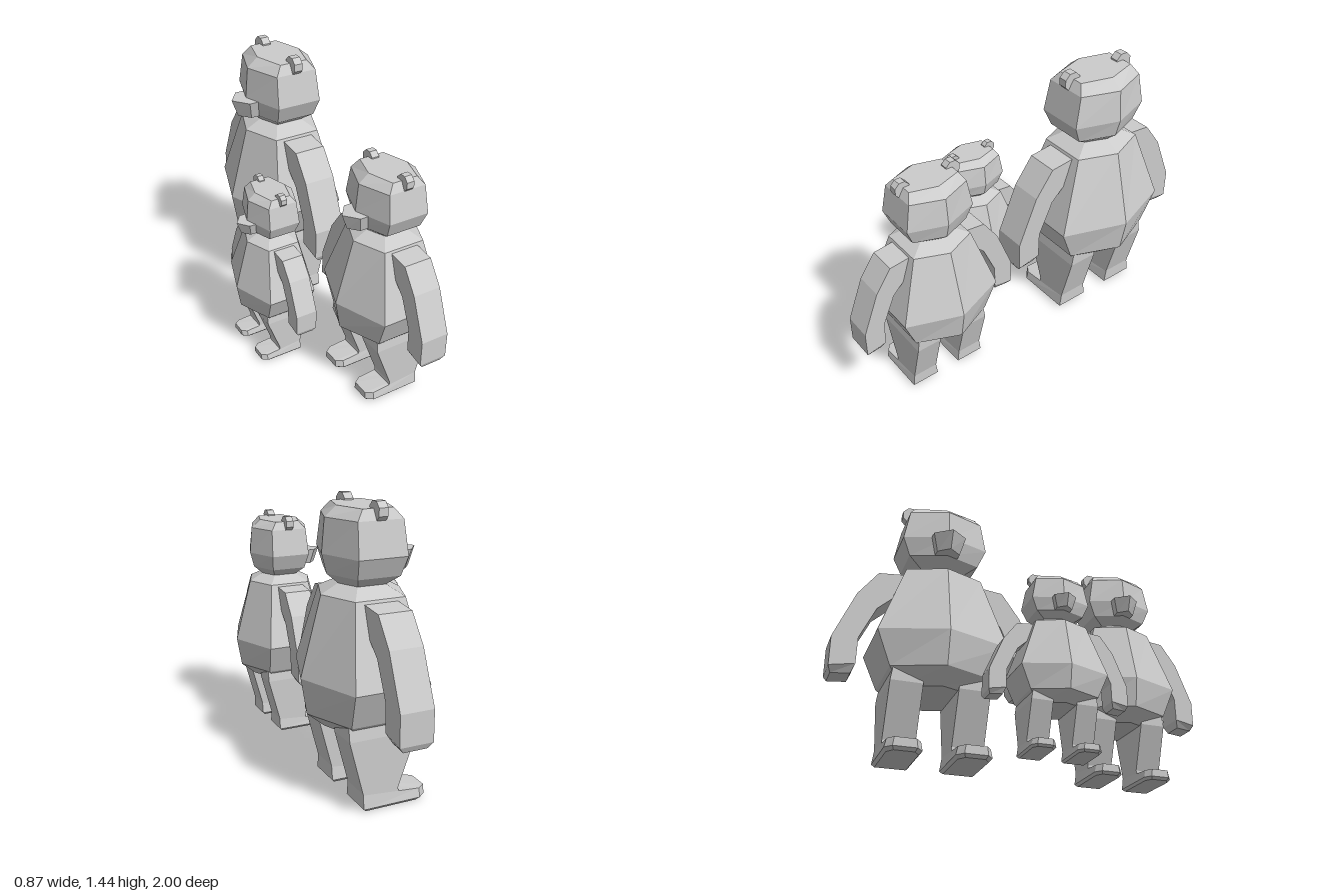
import * as THREE from 'three';

const material = new THREE.MeshStandardMaterial({ color: 0xcccccc, flatShading: true });

// Closed skin through rings that all have the same number of [x, y, z] corners.
function loft(rings) {
  const n = rings[0].length;
  let tris = [];
  for (let r = 0; r < rings.length - 1; r++) {
    const a = rings[r], b = rings[r + 1];
    for (let i = 0; i < n; i++) {
      const j = (i + 1) % n;
      tris.push([a[i], a[j], b[j]], [a[i], b[j], b[i]]);
    }
  }
  const first = rings[0], last = rings[rings.length - 1];
  for (let i = 1; i < n - 1; i++) {
    tris.push([first[0], first[i + 1], first[i]], [last[0], last[i], last[i + 1]]);
  }
  // Turn the skin outwards when its volume comes out negative (mirrored parts).
  let volume = 0;
  for (const t of tris) {
    const [p, q, s] = t.map((c) => new THREE.Vector3(...c));
    volume += p.dot(q.cross(s));
  }
  if (volume < 0) tris = tris.map(([p, q, s]) => [p, s, q]);
  const geometry = new THREE.BufferGeometry();
  geometry.setAttribute('position', new THREE.Float32BufferAttribute(tris.flat(2), 3));
  geometry.computeVertexNormals();
  return geometry;
}

// Horizontal hexagon, pointed along x and flat on the sides.
const hexRing = ([y, rx, rz]) => {
  const hx = rx * 0.62;
  return [[rx, y, 0], [hx, y, -rz], [-hx, y, -rz], [-rx, y, 0], [-hx, y, rz], [hx, y, rz]];
};

// Horizontal rectangle.
const boxRing = (y, x0, x1, z, hz) =>
  [[x0, y, z - hz], [x0, y, z + hz], [x1, y, z + hz], [x1, y, z - hz]];

function part(parent, name, geometry) {
  const mesh = new THREE.Mesh(geometry, material);
  mesh.name = name;
  parent.add(mesh);
  return mesh;
}

// One standing bear looking towards -x.
function createBear(name) {
  const bear = new THREE.Group();
  bear.name = name;

  // Each row: height, half depth, half width
  part(bear, 'body', loft([
    [0.355, 0.19, 0.19], [0.43, 0.28, 0.26], [0.61, 0.31, 0.335],
    [1.0, 0.205, 0.2], [1.05, 0.11, 0.105],
  ].map(hexRing)));
  part(bear, 'head', loft([
    [1.04, 0.11, 0.105], [1.095, 0.175, 0.185], [1.19, 0.2, 0.226],
    [1.355, 0.185, 0.195], [1.405, 0.125, 0.165],
  ].map(hexRing)));

  // Snout: pointed in plan, tapering downwards
  const snoutRing = (y, tip, shoulder, hz) =>
    [[tip, y, 0], [shoulder, y, hz], [-0.1, y, hz], [-0.1, y, -hz], [shoulder, y, -hz]];
  part(bear, 'snout', loft([
    snoutRing(1.095, -0.25, -0.2, 0.06),
    snoutRing(1.19, -0.285, -0.22, 0.086),
  ]));

  for (const side of [1, -1]) {
    const label = side > 0 ? 'left' : 'right';

    const ear = part(bear, label + 'Ear', new THREE.CylinderGeometry(0.05, 0.05, 0.046, 8)
      .rotateY(Math.PI / 8).rotateZ(Math.PI / 2));
    ear.position.set(0, 1.393, side * 0.17);

    // Arm sections: outer z, y, inner z, y, half thickness
    part(bear, label + 'Arm', loft([
      [0.16, 0.99, 0.12, 0.86, 0.085],
      [0.333, 0.972, 0.22, 0.87, 0.085],
      [0.435, 0.836, 0.328, 0.77, 0.085],
      [0.541, 0.584, 0.409, 0.595, 0.085],
      [0.541, 0.43, 0.412, 0.455, 0.085],
      [0.527, 0.4, 0.43, 0.41, 0.06],
    ].map(([oz, oy, iz, iy, h]) =>
      [[-h, oy, side * oz], [h, oy, side * oz], [h, iy, side * iz], [-h, iy, side * iz]])));

    // Leg narrows from hip to ankle
    const z = side * 0.172;
    part(bear, label + 'Leg', loft([
      boxRing(0.05, -0.08, 0.11, z, 0.082),
      boxRing(0.09, -0.075, 0.11, z, 0.082),
      boxRing(0.36, -0.175, 0.18, z, 0.082),
      boxRing(0.44, -0.175, 0.18, z, 0.07),
    ]));

    // Foot with clipped toe corners, a bevelled sole and a sloping top
    const footRing = (toeY, heelY, inset, hz) => [
      [0.11 - inset, heelY, z + hz], [0.11 - inset, heelY, z - hz],
      [-0.19 + inset, toeY, z - hz], [-0.23 + inset, toeY, z - hz * 0.65],
      [-0.23 + inset, toeY, z + hz * 0.65], [-0.19 + inset, toeY, z + hz],
    ];
    part(bear, label + 'Foot', loft([
      footRing(0, 0, 0.015, 0.078), footRing(0.016, 0.016, 0, 0.092),
      footRing(0.06, 0.085, 0, 0.082),
    ]));
  }
  return bear;
}

export function createModel() {
  const family = new THREE.Group();
  family.name = 'bearFamily';
  const place = [
    ['largeBear', [0.12, 0, -0.46], [1, 1, 1]],
    ['mediumBear', [0.12, 0, 0.565], [0.86, 0.85, 0.805]],
    ['smallBear', [-0.23, 0, 0.07], [0.667, 0.667, 0.667]],
  ];
  for (const [name, position, scale] of place) {
    const bear = createBear(name);
    bear.position.set(...position);
    bear.scale.set(...scale);
    family.add(bear);
  }
  return family;
}
